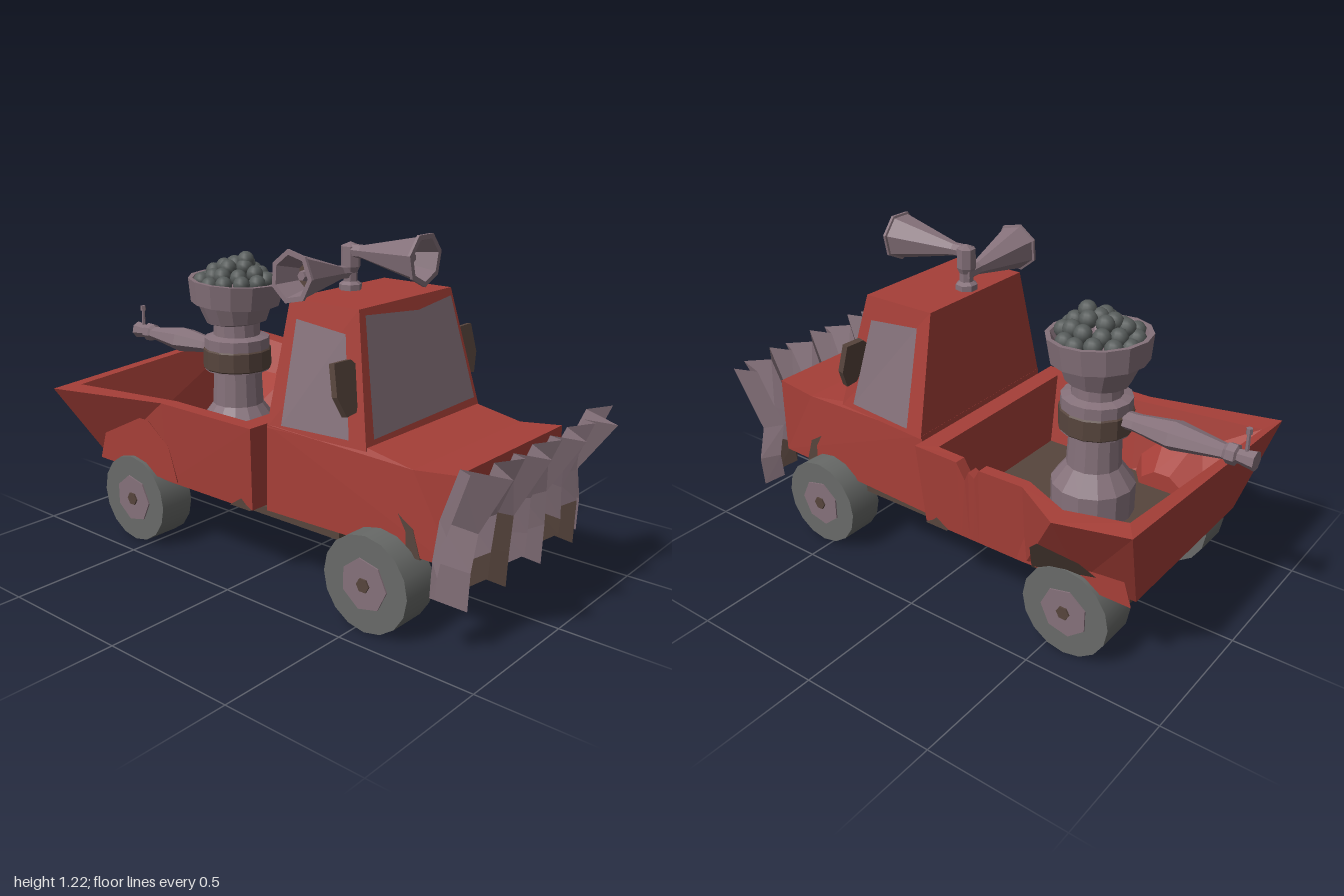
import * as THREE from 'three';

const mat = (name, color, flatShading = true) =>
  new THREE.MeshStandardMaterial({ name, color, flatShading, side: THREE.DoubleSide });

export function createModel() {
  const red = mat('red paint', 0xa63f38);
  const metal = mat('mauve metal', 0x85717a);
  const brown = mat('rust brown', 0x57453d);
  const rubber = mat('grey rubber', 0x686a68, false);
  const shot = mat('dark shot', 0x575c5b, false);

  const root = new THREE.Group();
  const CX = -0.015; // the truck sits slightly off centre
  const add = (name, geo, material, x = 0, y = 0, z = 0, parent = root) => {
    const m = new THREE.Mesh(geo, material);
    m.name = name;
    m.position.set(x, y, z);
    parent.add(m);
    return m;
  };
  const shapeOf = pts => new THREE.Shape(pts.map(p => new THREE.Vector2(p[0], p[1])));

  // Side profile given as (z, y), extruded across the width
  const across = (pts, width) => {
    const g = new THREE.ExtrudeGeometry(shapeOf(pts), { depth: width, bevelEnabled: false });
    return g.rotateY(-Math.PI / 2).translate(width / 2, 0, 0);
  };
  const indexed = (pos, idx) => {
    const g = new THREE.BufferGeometry();
    g.setAttribute('position', new THREE.Float32BufferAttribute(pos, 3));
    g.setIndex(idx);
    g.computeVertexNormals();
    return g;
  };
  // Skin through closed loops of [x, y, z]
  const loft = loops => {
    const n = loops[0].length, idx = [];
    for (let r = 0; r < loops.length - 1; r++) for (let i = 0; i < n; i++) {
      const a = r * n + i, b = r * n + (i + 1) % n;
      idx.push(a, b, b + n, a, b + n, a + n);
    }
    return indexed(loops.flat(2), idx);
  };
  // Flat polygon fan through 3D points
  const fan = pts => {
    const idx = [];
    for (let i = 1; i < pts.length - 1; i++) idx.push(0, i, i + 1);
    return indexed(pts.flat(), idx);
  };
  const lathe = (pts, sides) => new THREE.LatheGeometry(pts.map(p => new THREE.Vector2(p[0], p[1])), sides);

  // Lower cab and hood, a little wider towards the back
  const cab = across([[0.81, 0.27], [0.81, 0.57], [0.65, 0.55], [0.475, 0.58], [0.07, 0.58], [0.065, 0.27]], 0.635);
  const cp = cab.attributes.position;
  for (let i = 0; i < cp.count; i++) {
    const z = cp.getZ(i);
    if (z < 0.45) cp.setX(i, cp.getX(i) * (1 + (0.45 - z) * 0.26));
  }
  cab.computeVertexNormals();
  add('cabBody', cab, red, CX);
  add('frontArchRust', across([[0.69, 0.265], [0.66, 0.36], [0.62, 0.385], [0.6, 0.4], [0.54, 0.385], [0.45, 0.36], [0.42, 0.265]], 0.65), brown, CX);

  // Upper cab
  const belt = [[-0.34, 0.57, 0.475], [0.31, 0.57, 0.475], [0.34, 0.57, 0.07], [-0.365, 0.57, 0.07]];
  const roof = [[-0.27, 1, 0.385], [0.24, 1, 0.385], [0.24, 1, 0.095], [-0.27, 1, 0.095]];
  add('cabUpper', loft([belt, roof]), red);
  add('roof', fan(roof), red);

  // Windows lie just proud of the sloping cab faces
  const up = y => (y - 0.57) / 0.43;
  const screen = [[-0.3, 0.6], [0.28, 0.61], [0.225, 0.975], [0.03, 0.955], [-0.25, 0.98]];
  add('windshield', fan(screen.map(([x, y]) => [x, y, 0.481 - 0.09 * up(y)])), metal);
  const pane = [[0.41, 0.595], [0.135, 0.59], [0.14, 0.94], [0.35, 0.92]];
  const sideX = (z, y, front, back, top) => {
    const low = front + (back - front) * (0.475 - z) / 0.405;
    return low + (top - low) * up(y);
  };
  add('leftWindow', fan(pane.map(([z, y]) => [sideX(z, y, 0.31, 0.34, 0.24) + 0.008, y, z])), metal);
  add('rightWindow', fan(pane.map(([z, y]) => [sideX(z, y, -0.34, -0.365, -0.27) - 0.008, y, z]).reverse()), metal);

  // Door mirrors, leaning back at the top
  for (const s of [1, -1]) {
    const pts = [[0.27, 0.06], [0.303, 0.088], [0.383, 0.09], [0.393, -0.015], [0.361, -0.085], [0.313, -0.08], [0.285, -0.02]];
    const g = new THREE.ExtrudeGeometry(shapeOf(pts.map(([x, y]) => [s * x, y])), { depth: 0.022, bevelEnabled: false });
    add(s > 0 ? 'leftMirror' : 'rightMirror', g, brown, CX, 0.76, 0.388).rotation.x = -0.2;
  }

  // Cargo bed: outer foot, outer rim, inner rim, floor, with a torn notch in the left wall
  const tear = [[-0.13, 0.572], [-0.165, 0.515], [-0.18, 0.55], [-0.205, 0.535], [-0.225, 0.572]];
  const top = [0.575, 0.575, ...tear.map(t => t[1]), 0.575, 0.6, 0.63, 0.57, 0.575];
  const loop = (frontPts, x, rest, y) =>
    [...frontPts, ...tear.map(t => [x, t[0]]), ...rest].map(([px, z], i) => [px, y ?? top[i], z]);
  const foot = loop([[-0.4, 0.03], [0.37, 0.03]], 0.37,
    [[0.37, -0.4], [0.34, -0.6], [0.33, -0.8], [-0.36, -0.8], [-0.4, -0.4]], 0.27);
  const outer = loop([[-0.425, 0.05], [0.393, 0.05]], 0.393,
    [[0.393, -0.4], [0.54, -0.61], [0.51, -0.87], [-0.545, -0.87], [-0.42, -0.4]]);
  const inner = loop([[-0.37, -0.02], [0.35, -0.02]], 0.35,
    [[0.35, -0.4], [0.46, -0.6], [0.44, -0.82], [-0.44, -0.84], [-0.365, -0.38]]);
  const floor = loop([[-0.32, -0.03], [0.31, -0.03]], 0.31,
    [[0.31, -0.4], [0.3, -0.6], [0.27, -0.78], [-0.27, -0.78], [-0.32, -0.4]], 0.31);
  add('bedWalls', loft([foot, outer, inner, floor]), red);
  add('bedFloor', fan(floor), brown);
  add('bedUnderside', fan([...foot].reverse()), brown);
  add('bedFloorPlate', new THREE.BoxGeometry(0.5, 0.008, 0.07), rubber, CX, 0.315, -0.745);
  add('bedRust', across([[0.025, 0.27], [0, 0.285], [-0.02, 0.303], [-0.07, 0.27]], 0.787), brown, CX);
  add('chassis', new THREE.BoxGeometry(0.66, 0.03, 1.14), brown, CX, 0.255, -0.2);
  add('cabUnderside', new THREE.BoxGeometry(0.62, 0.008, 0.44), brown, CX, 0.267, 0.58);

  // Rust over the left rear wheel, lying on the flared wall
  const flare = [[-0.43, 0.27], [-0.7, 0.28], [-0.68, 0.34], [-0.64, 0.4], [-0.515, 0.45], [-0.475, 0.41]];
  add('rearArchRust', fan(flare.map(([z, y]) => [0.38 + 0.15 * (z + 0.4) + 0.61 * (y - 0.27), y, z])), brown);

  // Faceted wheel arches inside the bed
  for (const s of [1, -1]) {
    const [rTop, rBottom] = s > 0 ? [0.22, 0.1] : [0.1, 0.22];
    const arch = new THREE.CylinderGeometry(rTop, rBottom, 0.16, 5, 1, false, Math.PI, Math.PI).rotateZ(-Math.PI / 2);
    add(s > 0 ? 'leftArch' : 'rightArch', arch, red, CX + s * 0.315, 0.28, s > 0 ? -0.59 : -0.56);
  }

  // Wheels
  for (const s of [1, -1]) for (const z of [0.54, -0.575]) {
    const w = new THREE.Group();
    w.name = (z > 0 ? 'front' : 'rear') + (s > 0 ? 'Left' : 'Right') + 'Wheel';
    w.position.set(CX + s * 0.34, 0.166, z);
    root.add(w);
    const disc = (name, r, t, n, m, x) => add(name, new THREE.CylinderGeometry(r, r, t, n).rotateZ(Math.PI / 2), m, x, 0, 0, w);
    disc('tyre', 0.166, 0.14, 16, rubber, 0);
    disc('hub', 0.09, 0.008, 7, metal, s * 0.071);
    disc('axleCap', 0.025, 0.016, 6, brown, s * 0.073);
  }

  // Corrugated plough with rusty lower patches, its outer folds swept back
  const cols = 17, rows = [[0.62, 0.945, 0.042], [0.41, 0.848, 0.03], [0.29, 0.846, 0.028], [0.19, 0.846, 0.028]];
  const pos = [], good = [], rusty = [];
  rows.forEach(([y, z, depth], r) => {
    for (let c = 0; c < cols; c++) {
      const k = c % 2 ? -1 : 1, low = c % 4 === 2 || c === 16 ? -1 : c % 4 === 0 ? 1 : 0;
      const x = -0.45 + c * 0.055 - (r === 3 ? 0.01 : 0);
      const dy = r === 0 ? 0.014 * (c === 16 ? 1 : low) : r === 3 ? 0.035 * low : 0.02 * Math.sin(c * 1.9);
      const swept = c < 2 || c > 14 ? 0.045 : 0;
      pos.push(x * (r === 1 ? 0.92 : 1), y + dy, z + depth * k - swept - (r === 0 ? dy : 0));
      if (r && c) {
        const b = r * cols + c, a = b - cols;
        const isRust = (r === 3 && [4, 5, 6, 11, 12, 13, 14].includes(c)) || (r === 2 && c === 6);
        (isRust ? rusty : good).push(a - 1, b - 1, b, a - 1, b, a);
      }
    }
  });
  const plough = indexed(pos, [...good, ...rusty]);
  plough.addGroup(0, good.length, 0);
  plough.addGroup(good.length, rusty.length, 1);
  add('plough', plough, [metal, brown]);

  // Turret: pedestal, band, neck and crooked bowl
  const turret = new THREE.Group();
  turret.name = 'turret';
  turret.position.set(CX, 0, -0.415);
  root.add(turret);
  add('pedestal', lathe([[0.15, 0.31], [0.15, 0.42], [0.098, 0.49], [0.092, 0.62], [0.125, 0.625], [0.125, 0.75],
    [0.09, 0.76], [0.088, 0.82], [0, 0.82]], 14), metal, 0, 0, 0, turret);
  add('rustBand', lathe([[0.126, 0.63], [0.131, 0.635], [0.131, 0.705], [0.126, 0.71]], 14), brown, 0, 0, 0, turret);
  add('bowl', lathe([[0.08, -0.05], [0.115, -0.04], [0.15, 0.05], [0.155, 0.08]], 14), metal, 0, 0.85, 0, turret).rotation.x = -0.06;
  add('bowlRim', lathe([[0.15, -0.05], [0.17, -0.045], [0.182, 0.045], [0.165, 0.045], [0.14, 0], [0, 0]], 14),
    metal, 0, 0.93, 0, turret).rotation.x = 0.06;

  // Heap of round shot
  let seed = 7;
  const rnd = () => (seed = (seed * 16807) % 2147483647) / 2147483647 - 0.5;
  const ball = new THREE.SphereGeometry(0.032, 12, 8);
  for (const [n, r, y] of [[12, 0.128, 0.965], [9, 0.09, 0.995], [5, 0.05, 1.02], [1, 0, 1.03]])
    for (let i = 0; i < n; i++) {
      const a = i / n * Math.PI * 2 + r * 9;
      add('shotBall', ball, shot, r * Math.cos(a) + rnd() * 0.012, y + rnd() * 0.022, r * Math.sin(a) + rnd() * 0.012, turret);
    }
  add('topBall', ball, shot, 0.01, 1.048, 0.045, turret);

  // Barrel pointing backwards, wider than it is tall
  add('barrel', lathe([[0, 0.1], [0.03, 0.1], [0.03, 0.16], [0.048, 0.3], [0.024, 0.48]], 7).scale(1.4, 1, 1)
    .rotateX(-Math.PI / 2), metal, 0, 0.69, 0, turret);
  add('muzzle', lathe([[0.024, 0.475], [0.036, 0.49], [0.036, 0.52], [0.024, 0.525], [0.034, 0.585], [0, 0.585]], 7)
    .rotateX(-Math.PI / 2), metal, 0, 0.69, 0, turret);
  add('igniterStem', new THREE.CylinderGeometry(0.006, 0.008, 0.08, 6), metal, 0, 0.745, -0.55, turret);
  add('igniterKnob', new THREE.CylinderGeometry(0.011, 0.011, 0.02, 6), metal, 0, 0.785, -0.55, turret);

  // Roof horns on one post
  add('hornPost', lathe([[0.04, 1], [0.04, 1.02], [0.025, 1.03], [0.025, 1.06], [0.034, 1.08], [0.034, 1.15], [0, 1.165]], 7),
    metal, -0.018, 0, 0.145);
  const horn = (name, length, x, y, z) => {
    const g = new THREE.Group();
    g.name = name;
    g.position.set(x, y, z);
    root.add(g);
    add('hornBell', lathe([[0, -0.02], [0.024, -0.02], [0.024, 0.05], [0.082, length - 0.012], [0.09, length - 0.01],
      [0.09, length], [0.072, length], [0.045, length - 0.09]], 7), metal, 0, 0, 0, g);
    add('hornThroat', new THREE.CylinderGeometry(0.046, 0.046, 0.006, 7), brown, 0, length - 0.09, 0, g);
    add('hornCore', new THREE.CylinderGeometry(0.016, 0.024, 0.04, 6), metal, 0, length - 0.07, 0, g);
    return g;
  };
  horn('frontHorn', 0.31, -0.022, 1.135, 0.15).rotation.x = Math.PI / 2;
  horn('sideHorn', 0.295, -0.022, 1.06, 0.14).rotation.z = Math.PI / 2 - 0.07;

  return root;
}
